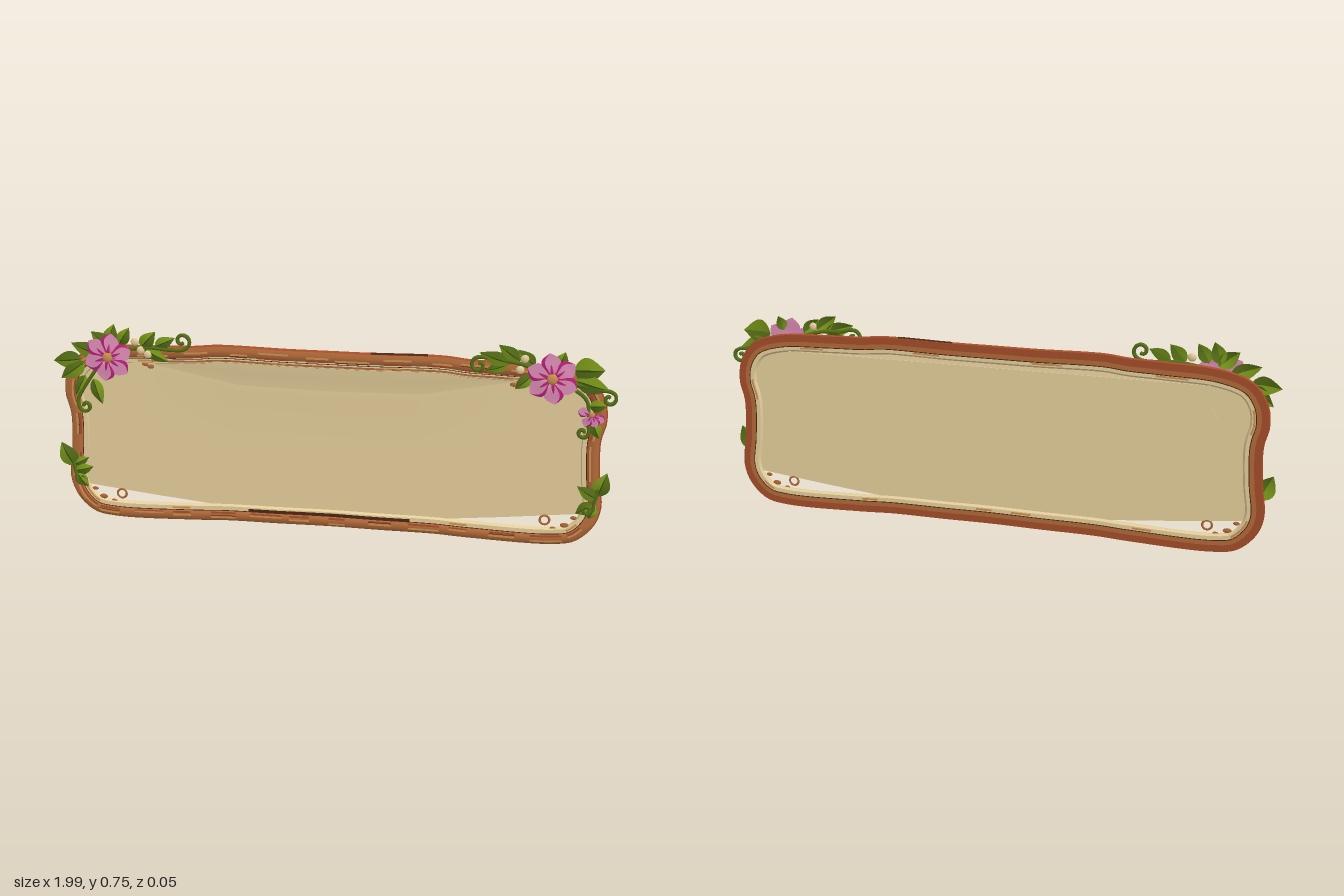
import * as THREE from 'three';
import { toCreasedNormals } from 'three/addons/utils/BufferGeometryUtils.js';

const mat = (name, color, side = THREE.DoubleSide) =>
  Object.assign(new THREE.MeshStandardMaterial({ color, side }), { name });

// Grid of points (rows of equal length) to a surface
function gridGeometry(rows, crease = 0.6) {
  const n = rows[0].length, index = [];
  for (let i = 0; i < rows.length - 1; i++)
    for (let j = 0; j < n - 1; j++) {
      const a = i * n + j, b = a + 1, c = a + n, d = c + 1;
      index.push(a, b, d, a, d, c);
    }
  const g = new THREE.BufferGeometry();
  g.setAttribute('position', new THREE.Float32BufferAttribute(rows.flat(2), 3));
  g.setIndex(index);
  return toCreasedNormals(g, crease);
}

// Leaf-shaped surface, 1 long and 2 wide, arched along a midrib
function bladeGeometry(power, from, to, arch = 1) {
  const rows = [];
  for (let i = 0; i <= 10; i++) {
    const s = i / 10, w = Math.sin(Math.PI * Math.pow(s, power));
    const z = arch * (0.25 + 0.75 * Math.sin(Math.PI * s));
    rows.push([to, from].map(k => [s, k * w, z - arch * 0.5 * Math.abs(k) * w]));
  }
  return gridGeometry(rows, 0.9);
}

export function createModel() {
  const M = {
    wood: mat('red-brown wood', 0xa54c28), face: mat('warm wood', 0xb36a39), light: mat('worn wood', 0xcd9250),
    dark: mat('dark wood', 0x4b2613), board: mat('parchment tan', 0xe6cf9c), leaf: mat('leaf green', 0x7a981a),
    shade: mat('deep green', 0x556e16), edge: mat('dark stem', 0x36480f, THREE.FrontSide),
    petal: mat('petal pink', 0xe08eb8), magenta: mat('petal magenta', 0xc01f80, THREE.FrontSide),
  };
  const root = new THREE.Group();
  const add = (name, geo, m, parent = root) => {
    const mesh = new THREE.Mesh(geo, m);
    mesh.name = name;
    parent.add(mesh);
    return mesh;
  };

  // Wavy frame outline, anticlockwise from the middle of the bottom
  const half = [[0.18, 0.012], [0.38, 0.011], [0.5, 0.005], [0.8, 0.001], [0.88, 0.018], [0.942, 0.08],
    [0.964, 0.15], [0.952, 0.27], [0.948, 0.4], [0.964, 0.47], [0.954, 0.55], [0.905, 0.62],
    [0.8, 0.658], [0.6, 0.67], [0.48, 0.674], [0.4, 0.682], [0.15, 0.679]];
  const outline = [[0, 0.014], ...half, [0, 0.679], ...half.slice().reverse().map(([x, y]) => [-x, y])];
  const path = new THREE.CatmullRomCurve3(outline.map(p => new THREE.Vector3(...p, 0)), true, 'centripetal');

  // Sweep a profile of [inset, z] along part of the outline
  function sweep(profile, t0 = 0, t1 = 1) {
    const steps = Math.max(6, Math.round(220 * (t1 - t0))), rows = [];
    for (let i = 0; i <= steps; i++) {
      const t = (t0 + (t1 - t0) * i / steps) % 1;
      const p = path.getPointAt(t), d = path.getTangentAt(t);
      rows.push(profile.map(([k, z]) => {
        const y = p.y + d.x * k;
        const swell = z > -0.01 ? 0.006 * THREE.MathUtils.smoothstep(0.13 - y, 0, 0.06) * Math.min(1, k / 0.018) : 0;
        return [p.x - d.y * k, y, z + swell];
      }));
    }
    return gridGeometry(rows, 0.7);
  }

  // Wooden frame and inner lip with their seams
  add('frameFace', sweep([[0.046, -0.007], [0.036, 0.001], [0.018, 0.002], [0.005, -0.003]]), M.face);
  add('frameBody', sweep([[0.005, -0.003], [0, -0.012], [0.003, -0.022], [0.044, -0.022], [0.046, -0.007]]), M.wood);
  add('frameBackBand', sweep([[0.028, -0.0225], [0.044, -0.0225]]), M.face);
  add('innerLip', sweep([[0.045, -0.019], [0.06, -0.019], [0.067, -0.012], [0.062, -0.002], [0.045, -0.002]]), M.board);
  add('frontGroove', sweep([[0.0475, -0.001], [0.045, 0]]), M.dark);
  add('backGroove', sweep([[0.044, -0.0225], [0.047, -0.0225]]), M.dark);
  add('bottomGap', sweep([[0.057, -0.0012], [0.047, -0.0008]], 0.94, 1.06), M.dark);
  add('topLipBand', sweep([[0.059, -0.0012], [0.052, -0.0012]], 0.37, 0.63), M.face);
  add('topPatch', sweep([[0.004, -0.003], [-0.001, -0.012], [0.002, -0.0215]], 0.43, 0.47), M.dark);

  // Worn light streaks, reddish grain and a few cracks along the frame
  for (let i = 0; i < 34; i++) {
    const t = i / 34, k = 0.014 + 0.018 * ((i * 0.618) % 1), len = 0.012 + 0.014 * ((i * 0.37) % 1);
    add('wornStreak', sweep([[k + 0.007, 0.0028], [k, 0.0028]], t, t + len), M.light);
    add('redGrain', sweep([[0.041, 0.0014], [0.034, 0.0022]], t, t + len), M.wood);
    if (i % 3 === 1) add('crack', sweep([[k + 0.011, 0.0026], [k + 0.009, 0.0026]], t, t + len), M.dark);
    if (i % 3 === 0) {
      add('lipStain', sweep([[0.058, -0.0012], [0.051, -0.0012]], t, t + len), M.light);
      add('backLipStain', sweep([[0.049, -0.0195], [0.056, -0.0195]], t, t + len), M.light);
    }
  }

  // Sagging parchment board with a step and a leaning strip along the top
  const lerpAt = (pts, x) => {
    const i = Math.max(1, pts.findIndex(p => p[0] >= x));
    const [a, b] = [pts[i - 1], pts[i]];
    return a[1] + (b[1] - a[1]) * (x - a[0]) / (b[0] - a[0]);
  };
  const bottom = [[0, 0.064], [0.3, 0.062], [0.62, 0.094], [0.85, 0.12], [0.93, 0.13]];
  const top = [[0, 0.645], [0.45, 0.64], [0.75, 0.63], [0.88, 0.59], [0.93, 0.53]];
  const fold = [[0, 0.53], [0.32, 0.536], [0.63, 0.598], [0.75, 0.615], [0.88, 0.58], [0.93, 0.52]];
  const depth = [[0, 1], [0.32, 1], [0.64, 0.3], [0.7, 0], [0.93, 0]];
  const columns = Array.from({ length: 63 }, (_, i) => -0.93 + 0.03 * i);
  const boardRow = f => columns.map(x => {
    const a = Math.min(0.93, Math.abs(x));
    const [y, z] = f(lerpAt(bottom, a), lerpAt(fold, a), lerpAt(top, a), lerpAt(depth, a));
    return [x, y, z];
  });
  add('board', gridGeometry([
    boardRow((b) => [b, -0.009]),
    boardRow((b, f) => [b + (f - b) * 0.5, -0.009]),
    boardRow((b, f, t, d) => [f - 0.07, -0.009]),
    boardRow((b, f, t, d) => [f - 0.02, -0.009 + 0.003 * d]),
    boardRow((b, f, t, d) => [f, -0.009 + 0.003 * d]),
  ]), M.board);
  add('boardTopStrip', gridGeometry([
    boardRow((b, f, t, d) => [f - 0.002, -0.0095 - 0.008 * d]),
    boardRow((b, f, t, d) => [f + (t - f) * 0.4, -0.009 - 0.004 * d]),
    boardRow((b, f, t, d) => [f + (t - f) * 0.85, -0.009 + 0.006 * d]),
    boardRow((b, f, t, d) => [t, -0.009 + 0.006 * d]),
  ]), M.board);

  // Raised panel on the back
  const panel = new THREE.Shape([[-0.8, 0.14], [-0.3, 0.11], [0.3, 0.11], [0.8, 0.14], [0.8, 0.48], [0.76, 0.53],
    [0.76, 0.6], [-0.76, 0.6], [-0.76, 0.53], [-0.8, 0.48]].map(p => new THREE.Vector2(...p)));
  add('backPanel', new THREE.ExtrudeGeometry(panel, { depth: 0.002, bevelEnabled: false }), M.board).position.z = -0.0205;

  // Metal rings and rust spots in the corners
  for (const s of [-1, 1]) {
    add('ring', new THREE.TorusGeometry(0.017, 0.004, 6, 18), M.face).position.set(s * 0.77, 0.095, -0.006);
    for (const [x, y, r] of [[0.64, 0.592, 0.01], [0.66, 0.6, 0.009], [0.84, 0.08, 0.012], [0.8, 0.065, 0.009], [0.87, 0.11, 0.009]])
      add('rustSpot', new THREE.SphereGeometry(r, 8, 6).scale(1.3, 0.8, 0.25), M.face).position.set(s * x, y, -0.004);
  }

  // Leaves: a light half, a deep half and a midrib
  const halfA = bladeGeometry(0.75, 0, 1), halfB = bladeGeometry(0.75, -1, 0);
  const rib = bladeGeometry(0.75, -0.07, 0.07, 1.08);
  function leaf(x, y, tipX, tipY, width, z) {
    const g = new THREE.Group(), len = Math.hypot(tipX - x, tipY - y);
    g.name = 'leaf';
    add('leafHalf', halfA, M.leaf, g);
    add('leafShadeHalf', halfB, M.shade, g);
    add('leafRib', rib, M.edge, g);
    g.position.set(x, y, z);
    g.rotation.z = Math.atan2(tipY - y, tipX - x);
    g.scale.set(len, width * 1.1, 0.012);
    root.add(g);
  }
  const leaves = [
    [-0.79, 0.67, -0.765, 0.745, 0.024], [-0.78, 0.66, -0.85, 0.715, 0.026], [-0.82, 0.63, -0.925, 0.67, 0.026],
    [-0.89, 0.61, -0.995, 0.6, 0.03], [-0.88, 0.6, -0.97, 0.535, 0.027], [-0.85, 0.54, -0.82, 0.445, 0.022],
    [-0.88, 0.55, -0.92, 0.47, 0.02], [-0.75, 0.67, -0.71, 0.735, 0.022], [-0.67, 0.665, -0.615, 0.725, 0.024],
    [-0.66, 0.66, -0.57, 0.615, 0.02], [-0.62, 0.67, -0.545, 0.705, 0.02],
    [-0.94, 0.2, -0.985, 0.29, 0.032], [-0.95, 0.2, -0.885, 0.235, 0.018], [-0.94, 0.18, -0.87, 0.2, 0.02],
    [-0.93, 0.17, -0.89, 0.12, 0.018],
    [0.84, 0.655, 0.945, 0.66, 0.042], [0.85, 0.62, 0.965, 0.59, 0.03], [0.79, 0.67, 0.81, 0.72, 0.02],
    [0.71, 0.665, 0.65, 0.72, 0.022], [0.66, 0.68, 0.585, 0.735, 0.023], [0.63, 0.67, 0.52, 0.705, 0.024],
    [0.62, 0.665, 0.54, 0.64, 0.018], [0.7, 0.63, 0.645, 0.58, 0.02], [0.91, 0.48, 0.94, 0.415, 0.02],
    [0.9, 0.53, 0.96, 0.535, 0.02],
    [0.945, 0.2, 0.975, 0.29, 0.028], [0.95, 0.19, 0.875, 0.235, 0.022], [0.93, 0.17, 0.875, 0.13, 0.022],
    [0.94, 0.16, 0.92, 0.115, 0.018],
  ];
  leaves.forEach((l, i) => leaf(...l, 0.001 + 0.002 * (i % 3)));

  // Vines, each ending in a spiral curl
  function vine(points, cx, cy, r, start, turn) {
    const pts = points.map(([x, y]) => new THREE.Vector3(x, y, 0.006));
    for (let i = 0; i <= 9; i++) {
      const a = start + turn * i * 0.75, k = r * (1 - i / 12);
      pts.push(new THREE.Vector3(cx + k * Math.cos(a), cy + k * Math.sin(a), 0.007));
    }
    add('vine', new THREE.TubeGeometry(new THREE.CatmullRomCurve3(pts), 60, 0.007, 6), M.shade);
  }
  vine([[-0.75, 0.65], [-0.64, 0.665], [-0.57, 0.66]], -0.52, 0.695, 0.032, -1.4, 1);
  vine([[-0.82, 0.6], [-0.87, 0.53], [-0.91, 0.46]], -0.885, 0.435, 0.025, 3, 1);
  vine([[0.73, 0.65], [0.64, 0.675], [0.57, 0.68]], 0.52, 0.66, 0.03, 1.4, 1);
  vine([[0.83, 0.61], [0.89, 0.6], [0.94, 0.59]], 0.965, 0.56, 0.027, 1.5, -1);
  vine([[0.83, 0.6], [0.89, 0.55], [0.9, 0.46]], 0.882, 0.435, 0.022, 0.3, -1);
  for (const s of [-1, 1]) vine([[s * 0.95, 0.24], [s * 0.94, 0.19]], s * 0.915, 0.15, 0.022, s > 0 ? 0.4 : 2.7, -s);

  // Flowers: separate rounded pink petals, magenta along one edge and at the base
  const petalGeo = bladeGeometry(1.6, -1, 1), petalEdge = bladeGeometry(1.6, 0.62, 1, 1.04);
  const streak = bladeGeometry(0.8, -0.16, 0.16, 1.05);
  function flower(name, x, y, r, angles, edgeWidth) {
    const g = new THREE.Group();
    g.name = name;
    for (const a of angles) {
      const p = new THREE.Group();
      p.name = 'petal';
      add('petalFace', petalGeo, M.petal, p);
      add('petalEdge', petalEdge, M.magenta, p).scale.set(1, 1, edgeWidth);
      add('petalStreak', streak, M.magenta, p).scale.set(0.6, 1, 1.15);
      p.rotation.z = a;
      p.scale.set(r, r * 0.36, 0.009);
      g.add(p);
    }
    add('flowerHeart', new THREE.SphereGeometry(r * 0.21, 12, 8).scale(1, 1, 0.4), M.light, g).position.z = 0.007;
    g.position.set(x, y, 0.013);
    root.add(g);
  }
  const six = Array.from({ length: 6 }, (_, i) => 0.35 + i * Math.PI / 3);
  flower('leftFlower', -0.79, 0.625, 0.09, six, 1.1);
  flower('rightFlower', 0.77, 0.625, 0.092, six.map(a => a + 0.3), 1.1);
  flower('flowerBud', 0.91, 0.505, 0.05, [-1.2, -0.5, 2.9, -2.1], 1.3);

  // Small pale buds beside the flowers
  for (const [x, y] of [[-0.69, 0.685], [-0.67, 0.655], [-0.645, 0.64], [0.675, 0.69], [0.66, 0.65]])
    add('paleBud', new THREE.SphereGeometry(0.015, 10, 8).scale(1, 1, 0.5), M.board).position.set(x, y, 0.01);

  return root;
}
